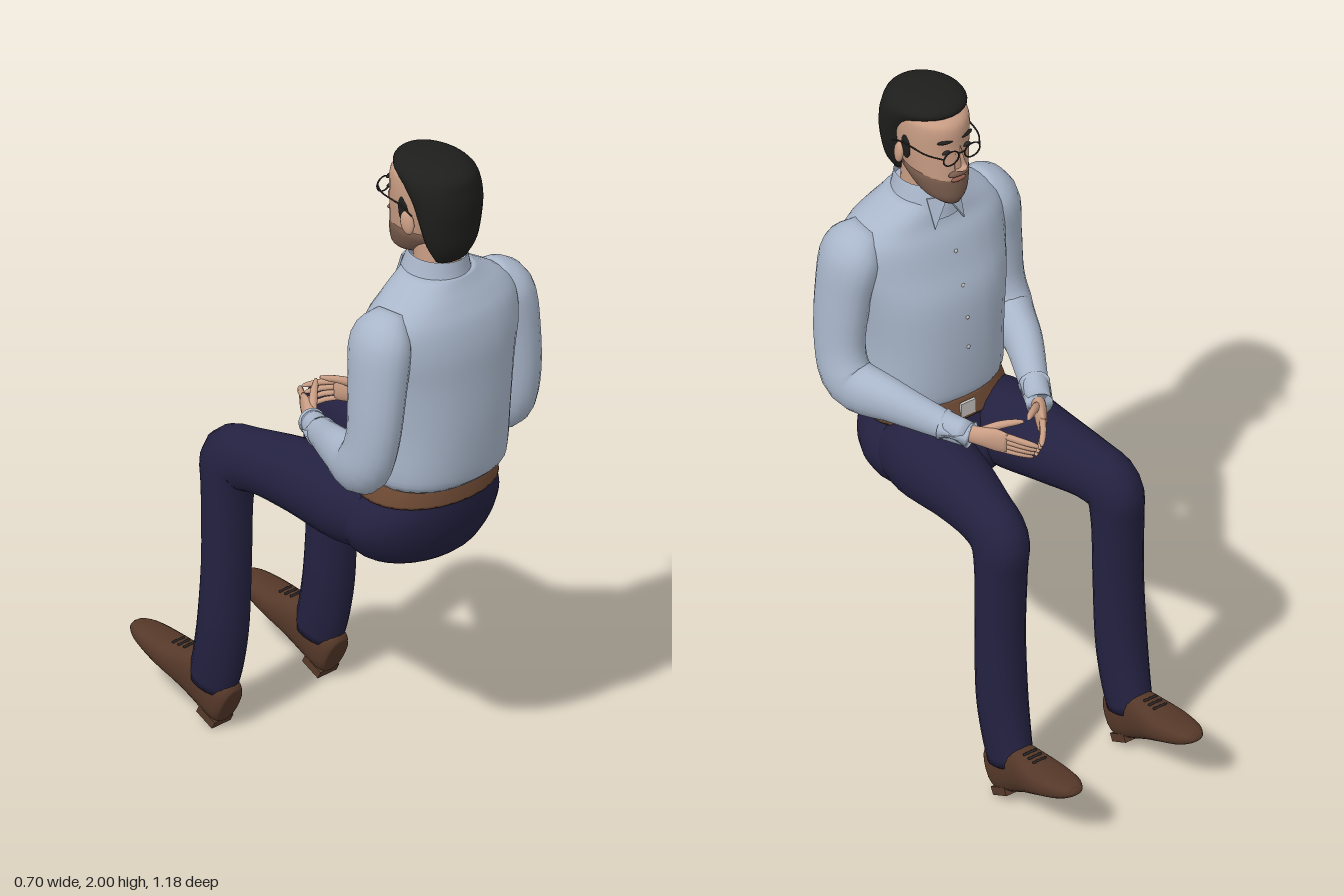
import * as THREE from 'three';

const mat = (name, color, side = THREE.FrontSide) => {
  const m = new THREE.MeshStandardMaterial({ color, side });
  m.name = name;
  return m;
};

// Skin a closed tube over sections [x, y, z, halfWidth, halfDepth].
// level keeps the rings horizontal; otherwise they follow the path.
function loft(sections, { level = false, power = 2, sides = 20, steps = 4, caps = true } = {}) {
  const path = new THREE.CatmullRomCurve3(sections.map(s => new THREE.Vector3(s[0], s[1], s[2])), false, 'catmullrom');
  const size = new THREE.CatmullRomCurve3(sections.map(s => new THREE.Vector3(s[3], s[4], 0)), false, 'catmullrom');
  const n = (sections.length - 1) * steps;
  const pos = [], idx = [];
  const bend = c => Math.sign(c) * Math.pow(Math.abs(c), 2 / power);
  for (let i = 0; i <= n; i++) {
    const c = path.getPoint(i / n), r = size.getPoint(i / n);
    const t = level ? new THREE.Vector3(0, 1, 0) : path.getTangent(i / n);
    const u = new THREE.Vector3(1, 0, 0).addScaledVector(t, -t.x).normalize();
    const v = t.clone().cross(u);
    for (let j = 0; j < sides; j++) {
      const a = (j / sides) * Math.PI * 2;
      const p = c.clone().addScaledVector(u, bend(Math.cos(a)) * r.x).addScaledVector(v, bend(Math.sin(a)) * r.y);
      pos.push(p.x, p.y, p.z);
      if (i < n) {
        const k = (j + 1) % sides, o = i * sides;
        idx.push(o + j, o + k, o + sides + j, o + k, o + sides + k, o + sides + j);
      }
    }
  }
  if (caps) {
    const first = path.getPoint(0), last = path.getPoint(1), b = pos.length / 3;
    pos.push(first.x, first.y, first.z, last.x, last.y, last.z);
    for (let j = 0; j < sides; j++) {
      const k = (j + 1) % sides, o = n * sides;
      idx.push(b, k, j, b + 1, o + j, o + k);
    }
  }
  const g = new THREE.BufferGeometry();
  g.setAttribute('position', new THREE.Float32BufferAttribute(pos, 3));
  g.setIndex(idx);
  g.computeVertexNormals();
  return g;
}

// Horizontal rings on the centre line: [y, z, halfWidth, halfDepth]
const stack = (rows, opts = {}) => loft(rows.map(([y, z, a, b]) => [0, y, z, a, b]), { level: true, sides: 28, ...opts });
// Mirror sections across the body
const mirror = (rows, s) => rows.map(([x, ...rest]) => [x * s, ...rest]);

export function createModel() {
  const shirt = mat('shirtBlue', 0xa9b6ca, THREE.DoubleSide);
  const trousers = mat('trouserNavy', 0x232140);
  const leather = mat('beltBrown', 0x6e4a34);
  const shoe = mat('shoeBrown', 0x553829);
  const hair = mat('hairBlack', 0x1e1e1d);
  const skin = mat('skin', 0xc99d84);
  const stubble = mat('beardBrown', 0x7a5d4e);
  const grey = mat('beardGrey', 0xc2bebb);
  const frame = mat('frameDark', 0x2a2626);
  const lip = mat('lip', 0x935f50);

  const model = new THREE.Group();
  model.name = 'seatedMan';
  const add = (name, geo, material, parent = model) => {
    const m = new THREE.Mesh(geo, material);
    m.name = name;
    parent.add(m);
    return m;
  };
  const group = name => {
    const g = new THREE.Group();
    g.name = name;
    model.add(g);
    return g;
  };
  const ball = (name, material, parent, [x, y, z], [a, b, c]) => {
    const m = add(name, new THREE.SphereGeometry(1, 14, 10), material, parent);
    m.position.set(x, y, z);
    m.scale.set(a, b, c);
    return m;
  };

  // Shirt body, collar and front buttons
  const body = group('shirt');
  add('torso', stack([
    [1.01, 0.38, 0.2, 0.165], [1.05, 0.385, 0.215, 0.185], [1.2, 0.39, 0.218, 0.195], [1.35, 0.395, 0.235, 0.19],
    [1.45, 0.41, 0.25, 0.172], [1.53, 0.415, 0.25, 0.15], [1.58, 0.415, 0.215, 0.125],
    [1.62, 0.408, 0.15, 0.108], [1.65, 0.405, 0.1, 0.095]], { power: 2.3 }), shirt, body);
  add('collar', stack([[1.6, 0.4, 0.115, 0.112], [1.65, 0.398, 0.095, 0.102], [1.7, 0.405, 0.08, 0.09]], { caps: false }), shirt, body);
  for (const s of [1, -1]) {
    const flap = new THREE.Shape([[0, 0.05], [0.06 * s, 0.06], [0.055 * s, -0.035]].map(p => new THREE.Vector2(...p)));
    const m = add('collarFlap', new THREE.ExtrudeGeometry(flap, { depth: 0.006, bevelEnabled: false }), shirt, body);
    m.position.set(0, 1.62, 0.275);
    m.rotation.set(0.35, s * -0.35, 0);
  }
  [[1.5, 0.253], [1.4, 0.219], [1.3, 0.198], [1.2, 0.194]].forEach(([y, z]) =>
    ball('button', grey, body, [0, y, z], [0.006, 0.006, 0.004]));

  // Hips and belt
  add('hips', stack([
    [0.72, 0.32, 0.12, 0.08], [0.755, 0.315, 0.2, 0.15], [0.83, 0.32, 0.25, 0.185],
    [0.9, 0.345, 0.245, 0.18], [0.96, 0.365, 0.212, 0.165], [1.0, 0.37, 0.198, 0.155]]), trousers);
  add('belt', stack([[0.955, 0.364, 0.221, 0.172], [0.985, 0.367, 0.213, 0.167], [1.018, 0.37, 0.2, 0.16]], { power: 2.1 }), leather);
  add('buckle', new THREE.BoxGeometry(0.05, 0.045, 0.009), grey).position.set(0, 0.985, 0.198);

  for (const s of [1, -1]) {
    const side = s > 0 ? 'left' : 'right';

    // Sleeve with cuff
    const arm = group(side + 'Arm');
    add('sleeve', loft(mirror([
      [0.19, 1.575, 0.415, 0.03, 0.05], [0.24, 1.51, 0.42, 0.073, 0.1], [0.265, 1.37, 0.43, 0.071, 0.095],
      [0.28, 1.2, 0.425, 0.066, 0.085], [0.278, 1.1, 0.375, 0.068, 0.085], [0.235, 1.085, 0.25, 0.055, 0.068],
      [0.165, 1.057, 0.11, 0.042, 0.046], [0.125, 1.046, 0.03, 0.036, 0.038]], s)), shirt, arm);
    add('cuff', loft(mirror([[0.16, 1.055, 0.1, 0.046, 0.048], [0.121, 1.045, 0.022, 0.039, 0.041]], s), { steps: 1 }), shirt, arm);

    // Hand with fingertips meeting in the middle
    const hand = group(side + 'Hand');
    add('palm', loft(mirror([
      [0.125, 1.046, 0.04, 0.02, 0.026], [0.105, 1.048, 0, 0.02, 0.03],
      [0.08, 1.047, -0.04, 0.016, 0.038], [0.062, 1.045, -0.07, 0.011, 0.034]], s)), skin, hand);
    for (let f = 0; f < 4; f++) {
      const y = 1.07 - f * 0.017, r = 0.0095 - f * 0.0006;
      add('finger', loft(mirror([
        [0.072, y, -0.055, r, r], [0.042, y - 0.008, -0.1 + f * 0.004, r, r],
        [0.015, y - 0.018, -0.13 + f * 0.008, r * 0.85, r * 0.85],
        [0.005, y - 0.022, -0.141 + f * 0.009, r * 0.4, r * 0.4]], s), { sides: 8, steps: 2 }), skin, hand);
    }
    add('thumb', loft(mirror([
      [0.098, 1.06, 0, 0.013, 0.016], [0.062, 1.085, -0.03, 0.012, 0.012],
      [0.025, 1.096, -0.06, 0.009, 0.009], [0.008, 1.1, -0.075, 0.004, 0.004]], s), { sides: 10, steps: 2 }), skin, hand);

    // Trouser leg, bent at the knee
    const leg = group(side + 'Leg');
    add('trouserLeg', loft(mirror([
      [0.125, 0.86, 0.36, 0.1, 0.1], [0.14, 0.872, 0.2, 0.122, 0.125], [0.16, 0.885, 0.02, 0.103, 0.11],
      [0.185, 0.885, -0.13, 0.084, 0.095], [0.2, 0.86, -0.215, 0.078, 0.1], [0.205, 0.76, -0.23, 0.075, 0.077],
      [0.208, 0.55, -0.23, 0.073, 0.072], [0.21, 0.35, -0.24, 0.073, 0.076],
      [0.21, 0.22, -0.26, 0.066, 0.08], [0.21, 0.13, -0.283, 0.058, 0.08]], s)), trousers, leg);

    // Shoe resting on its heel, toe raised
    add('shoe', loft(mirror([
      [0.21, 0.076, -0.212, 0.036, 0.06], [0.21, 0.088, -0.238, 0.048, 0.075], [0.21, 0.135, -0.335, 0.052, 0.073],
      [0.212, 0.165, -0.45, 0.062, 0.045], [0.212, 0.187, -0.54, 0.05, 0.029],
      [0.212, 0.198, -0.583, 0.028, 0.015], [0.212, 0.202, -0.592, 0.008, 0.005]], s), { power: 2.4 }), shoe, leg);
    const heel = add('heel', new THREE.BoxGeometry(0.075, 0.025, 0.07), shoe, leg);
    heel.position.set(0.21 * s, 0.03, -0.275);
    heel.rotation.x = 0.47;
    for (let i = 0; i < 3; i++) {
      const lace = add('lace', new THREE.CapsuleGeometry(0.004, 0.04, 3, 6), frame, leg);
      lace.position.set(0.212 * s, 0.211 - i * 0.001, -0.375 - i * 0.022);
      lace.rotation.z = Math.PI / 2;
    }
  }

  // Head
  const head = group('head');
  add('neck', stack([[1.57, 0.415, 0.075, 0.075], [1.66, 0.405, 0.066, 0.07], [1.76, 0.395, 0.066, 0.07]]), skin, head);
  add('face', stack([
    [1.675, 0.29, 0.03, 0.038], [1.7, 0.315, 0.06, 0.073], [1.75, 0.345, 0.08, 0.105], [1.8, 0.36, 0.09, 0.118],
    [1.86, 0.37, 0.098, 0.125], [1.92, 0.375, 0.1, 0.13], [1.95, 0.38, 0.092, 0.118], [1.975, 0.385, 0.05, 0.07]]), skin, head);
  add('beard', stack([
    [1.672, 0.29, 0.032, 0.041], [1.7, 0.317, 0.064, 0.078], [1.75, 0.348, 0.085, 0.109], [1.775, 0.358, 0.087, 0.112]]), stubble, head);
  add('hair', stack([
    [1.7, 0.46, 0.058, 0.03], [1.75, 0.46, 0.086, 0.055], [1.82, 0.455, 0.104, 0.07], [1.88, 0.445, 0.112, 0.085],
    [1.93, 0.42, 0.115, 0.105], [1.965, 0.39, 0.108, 0.125], [1.99, 0.375, 0.08, 0.1], [2.0, 0.37, 0.04, 0.055]]), hair, head);
  ball('chinBeard', grey, head, [0, 1.708, 0.257], [0.032, 0.03, 0.018]);
  ball('moustache', stubble, head, [0, 1.783, 0.24], [0.036, 0.01, 0.012]);
  ball('mouth', lip, head, [0, 1.762, 0.24], [0.026, 0.007, 0.008]);
  add('nose', loft([
    [0, 1.87, 0.246, 0.009, 0.008], [0, 1.835, 0.235, 0.012, 0.014],
    [0, 1.807, 0.23, 0.019, 0.018], [0, 1.795, 0.238, 0.012, 0.01]], { level: true, sides: 12 }), skin, head);

  // Eyes, brows, ears, sideburns and glasses
  const glasses = group('glasses');
  for (const s of [1, -1]) {
    ball('ear', skin, head, [0.102 * s, 1.815, 0.385], [0.012, 0.036, 0.022]).rotation.set(-0.2, s * -0.25, 0);
    ball('eye', frame, head, [0.036 * s, 1.86, 0.251], [0.014, 0.006, 0.006]);
    ball('eyebrow', hair, head, [0.038 * s, 1.895, 0.254], [0.024, 0.005, 0.008]).rotation.y = s * -0.3;
    ball('sideburn', hair, head, [0.094 * s, 1.85, 0.362], [0.009, 0.045, 0.02]);
    const rim = add('rim', new THREE.TorusGeometry(0.027, 0.0025, 6, 24), frame, glasses);
    rim.position.set(0.037 * s, 1.855, 0.226);
    rim.scale.y = 0.85;
    const temple = new THREE.CatmullRomCurve3([[0.063, 1.862, 0.226], [0.09, 1.864, 0.27], [0.106, 1.862, 0.37], [0.107, 1.845, 0.41]]
      .map(([x, y, z]) => new THREE.Vector3(x * s, y, z)));
    add('temple', new THREE.TubeGeometry(temple, 12, 0.0025, 6), frame, glasses);
  }
  const bridge = add('bridge', new THREE.CylinderGeometry(0.0025, 0.0025, 0.022, 6), frame, glasses);
  bridge.position.set(0, 1.862, 0.226);
  bridge.rotation.z = Math.PI / 2;

  return model;
}
